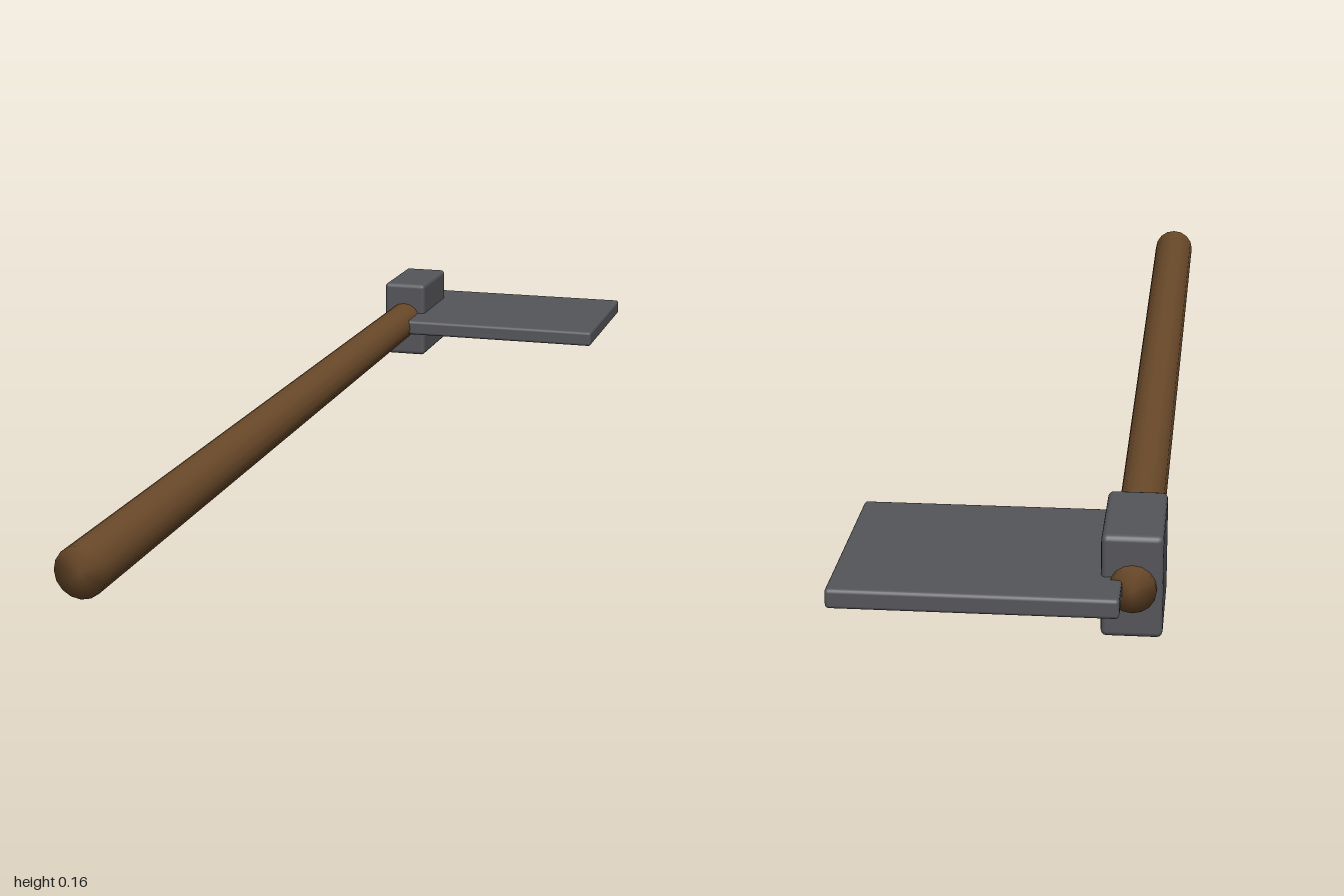
import * as THREE from 'three';
import { mergeVertices } from 'three/addons/utils/BufferGeometryUtils.js';
import { RoundedBoxGeometry } from 'three/addons/geometries/RoundedBoxGeometry.js';

const wood = new THREE.MeshStandardMaterial({ color: 0x6b4a2a });
const metal = new THREE.MeshStandardMaterial({ color: 0x55565a });
const CENTRE_Y = 0.081;

// Box with softly bevelled edges, given by its x, y and z extents
function bevelledBox(name, [x0, x1], [y0, y1], [z0, z1], bevel) {
  const geometry = new RoundedBoxGeometry(x1 - x0, y1 - y0, z1 - z0, 2, bevel);
  const mesh = new THREE.Mesh(geometry, metal);
  mesh.name = name;
  mesh.position.set((x0 + x1) / 2, (y0 + y1) / 2, (z0 + z1) / 2);
  return mesh;
}

// Tapered shaft along z, shaded smoothly over the flat ends
function shaft(x, zBack, zFront, rBack, rFront) {
  let geometry = new THREE.CylinderGeometry(rFront, rBack, zFront - zBack, 16);
  geometry.deleteAttribute('normal');
  geometry.deleteAttribute('uv');
  geometry = mergeVertices(geometry, 1e-4);
  geometry.computeVertexNormals();
  geometry.rotateX(Math.PI / 2);
  const mesh = new THREE.Mesh(geometry, wood);
  mesh.name = 'handle';
  mesh.position.set(x, CENTRE_Y, (zBack + zFront) / 2);
  return mesh;
}

export function createModel() {
  const group = new THREE.Group();
  group.name = 'axe';
  group.add(
    shaft(-0.2, -0.93, 1, 0.036, 0.042),
    // Socket block clamped around the back end of the handle
    bevelledBox('collar', [-0.245, -0.153], [0, 0.162], [-0.92, -0.737], 0.009),
    // Flat plate reaching out to the side
    bevelledBox('blade', [-0.185, 0.243], [0.066, 0.097], [-1, -0.656], 0.006),
  );
  return group;
}
